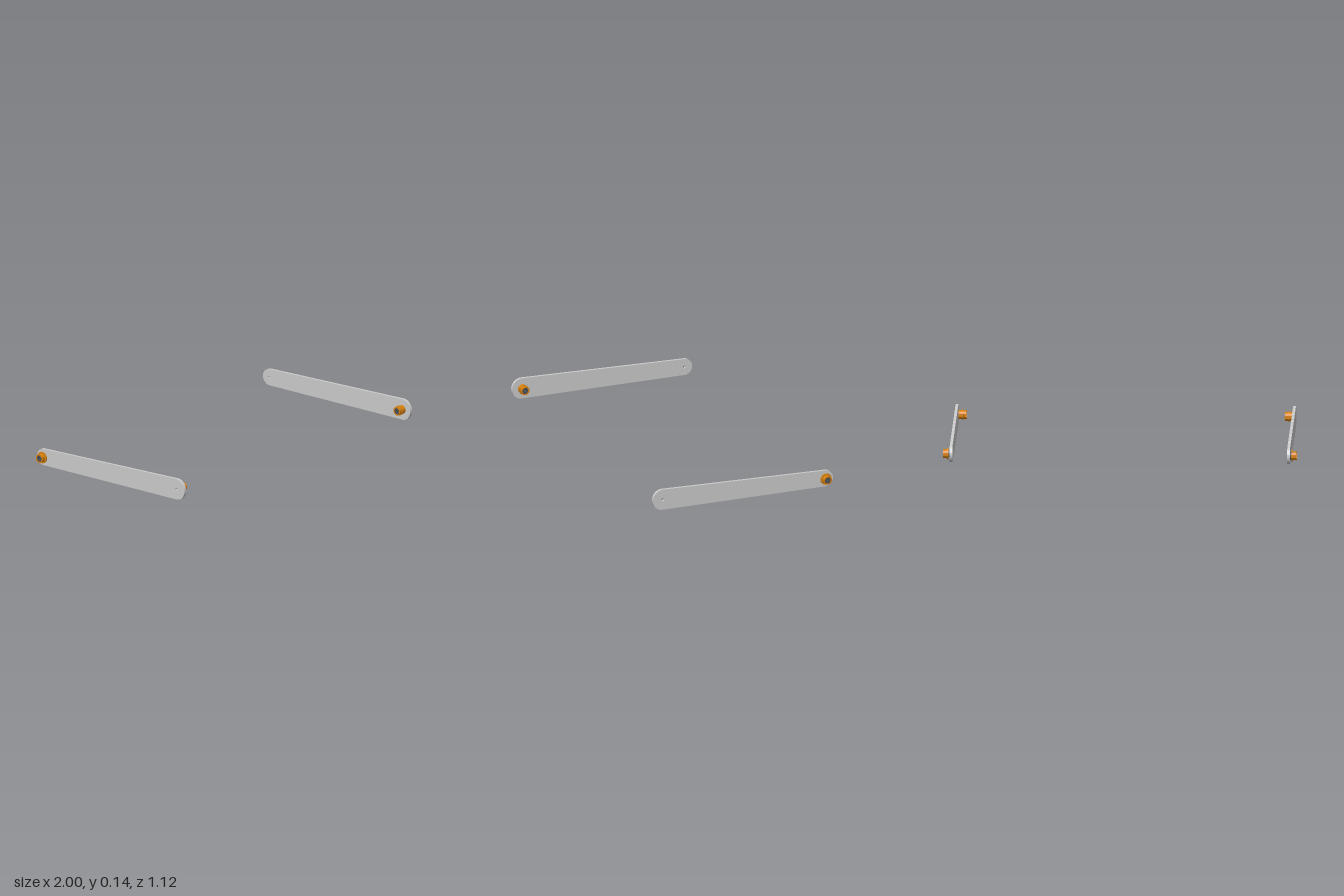
import * as THREE from 'three';
import { toCreasedNormals } from 'three/addons/utils/BufferGeometryUtils.js';

const grey = new THREE.MeshStandardMaterial({ color: 0xcccccc });
const orange = new THREE.MeshStandardMaterial({ color: 0xd9820f });
const dark = new THREE.MeshStandardMaterial({ color: 0x4c5058 });

const HOLE = 0.008;
const BIG = { z: 0.5, y: 0.084, r: 0.061 };
const SMALL = { z: -0.511, y: 0.049, r: 0.048 };
const INNER_X = 0.947, OUTER_X = 0.963;

// Tapered plate with rounded ends and a pivot hole at each end
function armGeometry() {
  const dz = BIG.z - SMALL.z, dy = BIG.y - SMALL.y;
  const axis = Math.atan2(dy, dz);
  const a = Math.acos((SMALL.r - BIG.r) / Math.hypot(dz, dy));
  const shape = new THREE.Shape();
  shape.absarc(BIG.z, BIG.y, BIG.r, axis - a, axis + a, false);
  shape.absarc(SMALL.z, SMALL.y, SMALL.r, axis + a, axis + 2 * Math.PI - a, false);
  shape.closePath();
  for (const end of [BIG, SMALL]) {
    shape.holes.push(new THREE.Path().absarc(end.z, end.y, HOLE, 0, Math.PI * 2, true));
  }
  const geometry = new THREE.ExtrudeGeometry(shape, {
    depth: OUTER_X - INNER_X, bevelEnabled: false, curveSegments: 24,
  });
  return toCreasedNormals(geometry.rotateY(-Math.PI / 2), 0.6);
}

// Ring turned around x; the outline lists [radius, distance from the plate]
function turned(name, bore, outline, dir, material) {
  const first = outline[0], last = outline[outline.length - 1];
  const points = [[bore, first[1]], ...outline, [bore, last[1]], [bore, first[1]]]
    .map(([r, h]) => new THREE.Vector2(r, h));
  const geometry = new THREE.LatheGeometry(points, 40).rotateZ(-dir * Math.PI / 2);
  const mesh = new THREE.Mesh(toCreasedNormals(geometry, 0.6), material);
  mesh.name = name;
  return mesh;
}

// Rear bearing: grey spacer, flanged orange sleeve, dark core
function rearBearing(dir) {
  const group = new THREE.Group();
  group.name = 'rearBearing';
  group.add(
    turned('spacer', HOLE, [[0.02, 0], [0.02, 0.007]], dir, dark),
    turned('flangedSleeve', 0.018,
      [[0.026, 0.007], [0.033, 0.007], [0.033, 0.015], [0.025, 0.015], [0.025, 0.037]], dir, orange),
    turned('core', HOLE, [[0.018, 0.007], [0.018, 0.035]], dir, dark),
  );
  return group;
}

// Front bearing: longer orange sleeve with a collar near its middle
function frontBearing(dir) {
  const group = new THREE.Group();
  group.name = 'frontBearing';
  group.add(
    turned('collaredSleeve', 0.018,
      [[0.025, 0], [0.025, 0.021], [0.028, 0.021], [0.028, 0.028], [0.025, 0.028], [0.025, 0.047]],
      dir, orange),
    turned('core', HOLE, [[0.018, 0], [0.018, 0.045]], dir, dark),
  );
  return group;
}

export function createModel() {
  const model = new THREE.Group();
  model.name = 'armPair';
  const plate = armGeometry();
  for (const side of [1, -1]) {
    const arm = new THREE.Group();
    arm.name = side > 0 ? 'leftArm' : 'rightArm';

    const bar = new THREE.Mesh(plate, grey);
    bar.name = 'armPlate';
    bar.position.x = side > 0 ? OUTER_X : -INNER_X;

    // Rear bearing faces outward, front bearing faces inward
    const rear = rearBearing(side);
    rear.position.set(side * OUTER_X, SMALL.y, SMALL.z);
    const front = frontBearing(-side);
    front.position.set(side * INNER_X, BIG.y, BIG.z);

    arm.add(bar, rear, front);
    model.add(arm);
  }
  return model;
}
